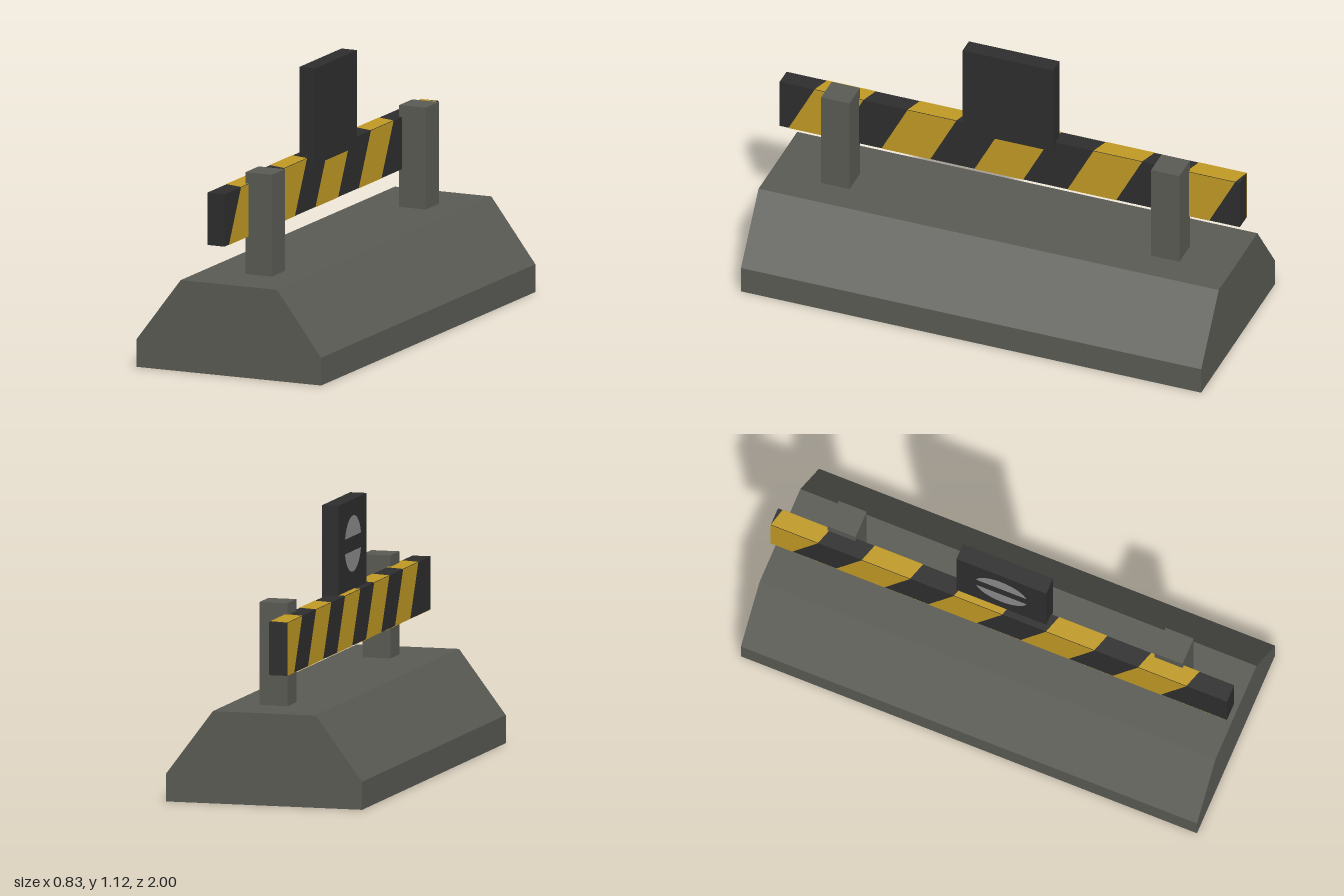
import * as THREE from 'three';

const mat = (name, color, side = THREE.FrontSide) => {
  const m = new THREE.MeshStandardMaterial({ color, side });
  m.name = name;
  return m;
};

export function createModel() {
  const concrete = mat('concrete grey', 0x5b5b55, THREE.DoubleSide);
  const black = mat('black', 0x2e2e2e);
  const yellow = mat('yellow', 0xc19a24, THREE.DoubleSide);
  const pale = mat('pale grey', 0x8c8c8c, THREE.DoubleSide);
  const model = new THREE.Group();
  model.name = 'bufferStop';

  const add = (name, geometry, material, parent = model) => {
    const mesh = new THREE.Mesh(geometry, material);
    mesh.name = name;
    parent.add(mesh);
    return mesh;
  };
  // Box given by its limits on each axis
  const box = (name, [x0, x1], [y0, y1], [z0, z1], material) => {
    const g = new THREE.BoxGeometry(x1 - x0, y1 - y0, z1 - z0);
    g.translate((x0 + x1) / 2, (y0 + y1) / 2, (z0 + z1) / 2);
    return add(name, g, material);
  };
  // Flat-shaded faces from four-cornered loops
  const quads = (list) => {
    const pos = list.flatMap(([a, b, c, d]) => [a, b, c, a, c, d].flat());
    const g = new THREE.BufferGeometry();
    g.setAttribute('position', new THREE.Float32BufferAttribute(pos, 3));
    g.computeVertexNormals();
    return g;
  };

  // Hollow base, open underneath
  const base = new THREE.Group();
  base.name = 'base';
  model.add(base);
  const profile = [[0.415, 0], [0.415, 0.115], [0.217, 0.378], [-0.217, 0.378], [-0.415, 0.115], [-0.415, 0]];
  const sides = profile.slice(1).map(([x, y], i) => {
    const [px, py] = profile[i];
    return [[px, py, 1], [px, py, -1], [x, y, -1], [x, y, 1]];
  });
  add('baseSides', quads(sides), concrete, base);
  const endShape = new THREE.Shape(profile.map(([x, y]) => new THREE.Vector2(x, y)));
  for (const s of [1, -1]) {
    const end = add(s > 0 ? 'baseFrontEnd' : 'baseBackEnd', new THREE.ShapeGeometry(endShape), concrete, base);
    end.position.z = s;
    if (s < 0) end.rotation.y = Math.PI;
  }

  // Two posts
  for (const s of [1, -1]) {
    box(s > 0 ? 'frontPost' : 'backPost', [-0.032, 0.087], [0.378, 0.8], [s * 0.717 - 0.0615, s * 0.717 + 0.0615], concrete);
  }

  // Beam with slanted stripes on its four long faces
  const X0 = -0.097, X1 = -0.02, Y0 = 0.535, Y1 = 0.752, e = 0.0015;
  box('beam', [X0, X1], [Y0, Y1], [-1, 1], black);
  // Each face: two edges as [x, y, z of the first stripe's start]
  const faces = {
    left: [[X1 + e, Y0, 0.961], [X1 + e, Y1, 0.848]],
    top: [[X1, Y1 + e, 0.848], [X0, Y1 + e, 0.823]],
    right: [[X0 - e, Y1, 0.823], [X0 - e, Y0, 0.71]],
    bottom: [[X0, Y0 - e, 0.986], [X1, Y0 - e, 0.961]],
  };
  const clampZ = (z) => Math.max(-1, Math.min(1, z));
  for (const [name, [a, b]] of Object.entries(faces)) {
    const list = [];
    for (let i = 0; i < 5; i++) {
      const at = ([x, y, z], width) => [x, y, clampZ(z - 0.404 * i - width)];
      list.push([at(a, 0), at(a, 0.212), at(b, 0.212), at(b, 0)]);
    }
    add(name + 'Stripes', quads(list), yellow);
  }

  // Signal board with a disc split by a level bar
  box('signalBoard', [-0.07, 0], [0.72, 1.12], [-0.197, 0.197], black);
  const r = 0.115, cut = Math.asin(0.03 / r);
  const half = new THREE.Shape();
  half.absarc(0, 0, r, cut, Math.PI - cut, false);
  half.closePath();
  for (const s of [1, -1]) {
    const g = new THREE.ShapeGeometry(half, 24);
    if (s < 0) g.rotateZ(Math.PI);
    g.rotateY(-Math.PI / 2);
    add(s > 0 ? 'upperHalfDisc' : 'lowerHalfDisc', g, pale).position.set(-0.072, 0.94, 0);
  }

  return model;
}
